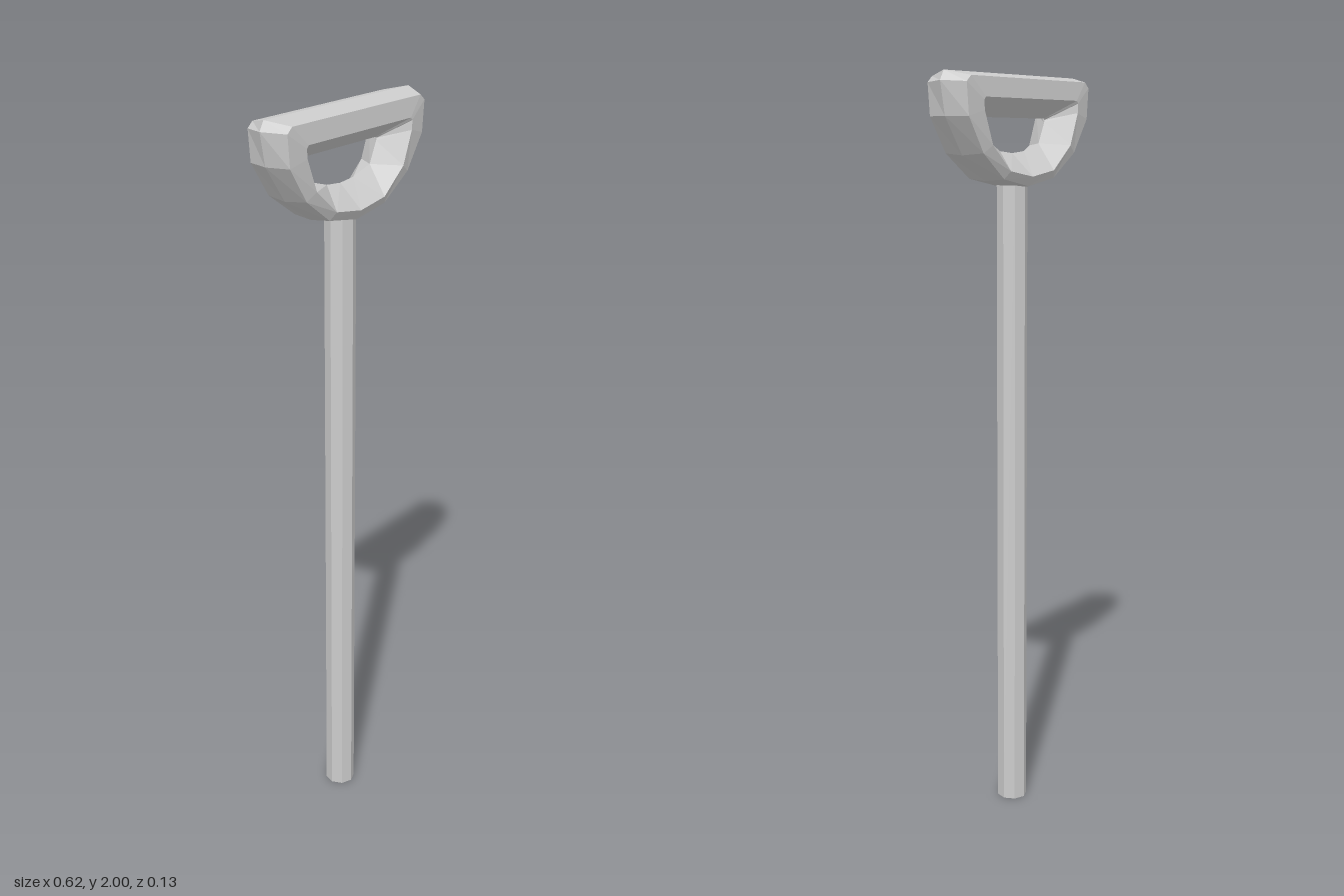
import * as THREE from 'three';

const material = new THREE.MeshStandardMaterial({ color: 0xcccccc, flatShading: true });

// Half outlines of the grip as [x, y, z], from bottom centre to the upper corner
const outerRidge = [[0, 1.71, 0], [0.12, 1.73, 0], [0.22, 1.795, 0], [0.29, 1.89, 0], [0.308, 1.975, 0], [0.293, 2, 0]];
const outerShoulder = [[0, 1.715, 0.052], [0.115, 1.735, 0.055], [0.21, 1.8, 0.059], [0.272, 1.89, 0.06], [0.28, 1.972, 0.06], [0.262, 1.987, 0.06]];
const innerShoulder = [[0, 1.74, 0.066], [0.1, 1.755, 0.066], [0.18, 1.82, 0.067], [0.215, 1.905, 0.067], [0.217, 1.93, 0.067], [0.21, 1.937, 0.067]];
const innerRidge = [[0, 1.8, 0], [0.055, 1.805, 0], [0.125, 1.825, 0], [0.152, 1.88, 0], [0.155, 1.887, 0], [0.15, 1.89, 0]];

// Close a half outline by mirroring it in x
const closeLoop = (half) => [...half, ...half.slice(1).reverse().map(([x, y, z]) => [-x, y, z])];
const toBack = (loop) => loop.map(([x, y, z]) => [x, y, -z]);

// Skin quads between neighbouring loops, wrapping both ways
function skinLoops(loops) {
  const positions = [];
  const n = loops[0].length;
  loops.forEach((a, j) => {
    const b = loops[(j + 1) % loops.length];
    for (let i = 0; i < n; i++) {
      const k = (i + 1) % n;
      positions.push(...a[i], ...a[k], ...b[k], ...a[i], ...b[k], ...b[i]);
    }
  });
  const geometry = new THREE.BufferGeometry();
  geometry.setAttribute('position', new THREE.Float32BufferAttribute(positions, 3));
  geometry.computeVertexNormals();
  return geometry;
}

export function createModel() {
  const group = new THREE.Group();
  group.name = 'handleWithShaft';

  // D-shaped grip with a six-sided section
  const [ridge, shoulder, inner, hole] = [outerRidge, outerShoulder, innerShoulder, innerRidge].map(closeLoop);
  const grip = new THREE.Mesh(skinLoops([ridge, shoulder, inner, hole, toBack(inner), toBack(shoulder)]), material);
  grip.name = 'grip';
  group.add(grip);

  // Eight-sided shaft running up into the grip
  const height = 1.735;
  const shaft = new THREE.Mesh(new THREE.CylinderGeometry(0.041, 0.041, height, 8), material);
  shaft.name = 'shaft';
  shaft.position.y = height / 2;
  group.add(shaft);

  return group;
}
